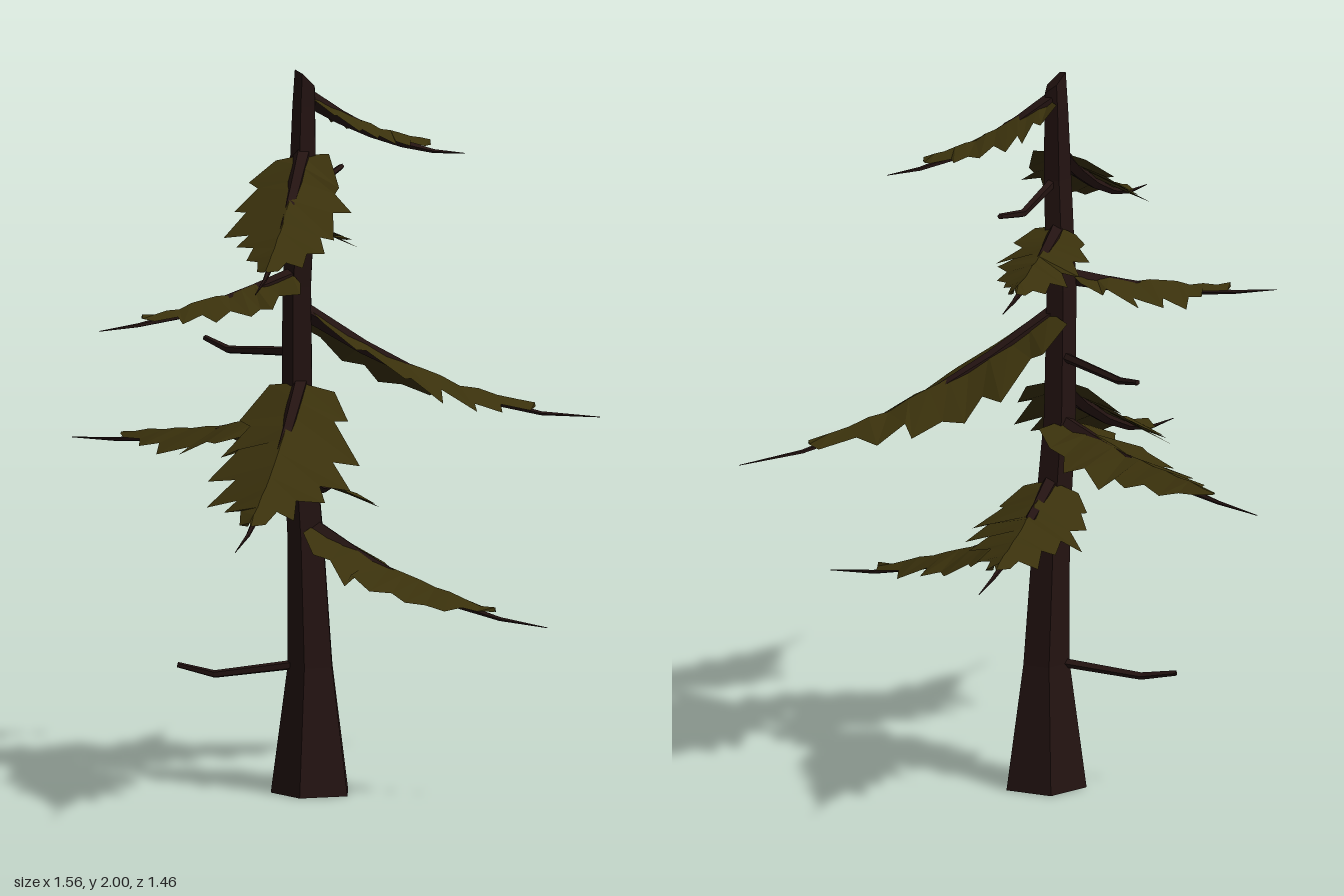
import * as THREE from 'three';

const wood = new THREE.MeshStandardMaterial({ color: 0x231311, flatShading: true, side: THREE.DoubleSide });
const needles = new THREE.MeshStandardMaterial({ color: 0x3a310c, flatShading: true, side: THREE.DoubleSide });
const V = (x, y, z) => new THREE.Vector3(x, y, z);

let seed = 7;
const rand = () => (seed = (seed * 16807) % 2147483647) / 2147483647;

function meshFrom(name, pos, index, material) {
  const indexed = new THREE.BufferGeometry();
  indexed.setAttribute('position', new THREE.Float32BufferAttribute(pos, 3));
  indexed.setIndex(index);
  const geo = indexed.toNonIndexed();
  geo.computeVertexNormals();
  const mesh = new THREE.Mesh(geo, material);
  mesh.name = name;
  return mesh;
}

// Joins rings of points into a closed skin with capped ends
function skin(name, rings) {
  const n = rings[0].length, index = [];
  const pos = rings.flat().flatMap(p => [p.x, p.y, p.z]);
  for (let r = 0; r < rings.length - 1; r++) {
    for (let i = 0; i < n; i++) {
      const a = r * n + i, b = r * n + (i + 1) % n;
      index.push(a, a + n, b, b, a + n, b + n);
    }
  }
  const last = (rings.length - 1) * n;
  for (let i = 1; i < n - 1; i++) {
    index.push(0, i, i + 1, last, last + i + 1, last + i);
  }
  return meshFrom(name, pos, index, wood);
}

// Five-sided trunk with a flared foot, a slight bend and a slanted broken top
function trunk() {
  const sections = [ // x, y, z, radius
    [-0.099, 0, -0.035, 0.116], [-0.1, 0.35, -0.04, 0.067], [-0.112, 0.7, -0.046, 0.054],
    [-0.136, 1.05, -0.05, 0.046], [-0.146, 1.4, -0.03, 0.043], [-0.144, 1.7, 0.005, 0.04],
    [-0.14, 1.9, 0.002, 0.034], [-0.138, 1.972, 0.004, 0.03],
  ];
  return skin('trunk', sections.map(([x, y, z, r], k) => Array.from({ length: 5 }, (_, i) => {
    const a = Math.PI / 3 + i * Math.PI * 0.4;
    const dx = Math.cos(a) * r;
    return V(x + dx, k === sections.length - 1 ? y - dx : y, z + Math.sin(a) * r);
  })));
}

// Thin tapered stick along a list of points
function stick(name, points, radius) {
  const side = points.at(-1).clone().sub(points[0]).cross(V(0, 1, 0)).normalize();
  return skin(name, points.map((p, k) => {
    const dir = points[Math.min(k + 1, points.length - 1)].clone().sub(points[Math.max(k - 1, 0)]).normalize();
    const up = side.clone().cross(dir);
    return Array.from({ length: 5 }, (_, i) => {
      const a = i * Math.PI * 0.4, r = radius(k / (points.length - 1));
      return p.clone().addScaledVector(side, Math.cos(a) * r).addScaledVector(up, Math.sin(a) * r);
    });
  }));
}

// Drooping bough: a bare spike carrying a tent of jagged foliage
function bough(root, tip) {
  const group = new THREE.Group();
  group.name = 'bough';
  const at = t => V(
    THREE.MathUtils.lerp(root.x, tip.x, t),
    root.y + (tip.y - root.y) * (1 - Math.pow(1 - t, 1.7)),
    THREE.MathUtils.lerp(root.z, tip.z, t));
  const path = Array.from({ length: 6 }, (_, i) => at(i / 5));
  group.add(stick('branch', path, t => 0.024 * (1 - t) + 0.001));

  const out = V(tip.x - root.x, 0, tip.z - root.z);
  const length = out.length();
  const side = V(-out.z, 0, out.x).normalize();
  const steps = 12, start = 0.02, end = 0.78, pos = [], index = [];
  for (let j = 0; j <= steps; j++) {
    const u = j / steps, t = start + (end - start) * u;
    const full = length * 0.22 * (u < 0.28 ? 0.66 + 1.2 * u : 1 - Math.pow((u - 0.28) / 0.72, 1.6));
    const tooth = j % 2 === 1;
    const ridge = at(t);
    ridge.y += 0.012 + 0.018 * t + (rand() - 0.5) * 0.012;
    // Left edge, ridge, right edge; every second step is a tooth
    for (const s of [-1, 0, 1]) {
      const w = Math.max(0.004, full * (tooth ? 0.88 + rand() * 0.24 : 0.62 + rand() * 0.16));
      const slide = s && j < steps ? (tooth ? 0.025 : -0.008) + (rand() - 0.5) * 0.045 : 0;
      const p = s ? at(t + slide).addScaledVector(side, s * w) : ridge;
      if (s) p.y += 0.018 - w * (0.3 + rand() * 0.14);
      pos.push(p.x, p.y, p.z);
    }
    if (j < steps) {
      for (const c of [0, 1]) {
        const a = j * 3 + c;
        index.push(a, a + 1, a + 3, a + 1, a + 4, a + 3);
      }
    }
  }
  group.add(meshFrom('foliage', pos, index, needles));
  return group;
}

export function createModel() {
  const tree = new THREE.Group();
  tree.name = 'coniferTree';
  tree.add(trunk());

  // Boughs: root and tip, from top to bottom
  const boughs = [
    [V(-0.13, 1.92, 0), V(0.335, 1.74, 0)],
    [V(-0.15, 1.77, 0.01), V(-0.56, 1.49, 0.635)],
    [V(-0.14, 1.56, -0.02), V(0.15, 1.475, -0.54)],
    [V(-0.16, 1.43, -0.02), V(-0.78, 1.325, 0.07)],
    [V(-0.13, 1.33, -0.03), V(0.775, 0.975, -0.09)],
    [V(-0.14, 1.13, -0.03), V(-0.66, 0.8, 0.73)],
    [V(-0.14, 1.03, -0.06), V(-0.52, 0.91, -0.72)],
    [V(-0.11, 0.86, -0.06), V(0.265, 0.74, -0.725)],
    [V(-0.11, 0.74, -0.03), V(0.365, 0.5, 0.5)],
  ];
  boughs.forEach(([root, tip]) => tree.add(bough(root, tip)));

  // Bent dead twigs
  const twigs = [
    [V(-0.13, 1.69, 0), V(0.005, 1.662, -0.2), V(0.09, 1.68, -0.28)],
    [V(-0.14, 1.215, -0.05), V(-0.245, 1.195, -0.28), V(-0.27, 1.215, -0.385)],
    [V(-0.12, 0.355, -0.05), V(-0.34, 0.324, -0.155), V(-0.42, 0.345, -0.225)],
  ];
  twigs.forEach(points => tree.add(stick('deadTwig', points, t => 0.014 - 0.006 * t)));
  return tree;
}
